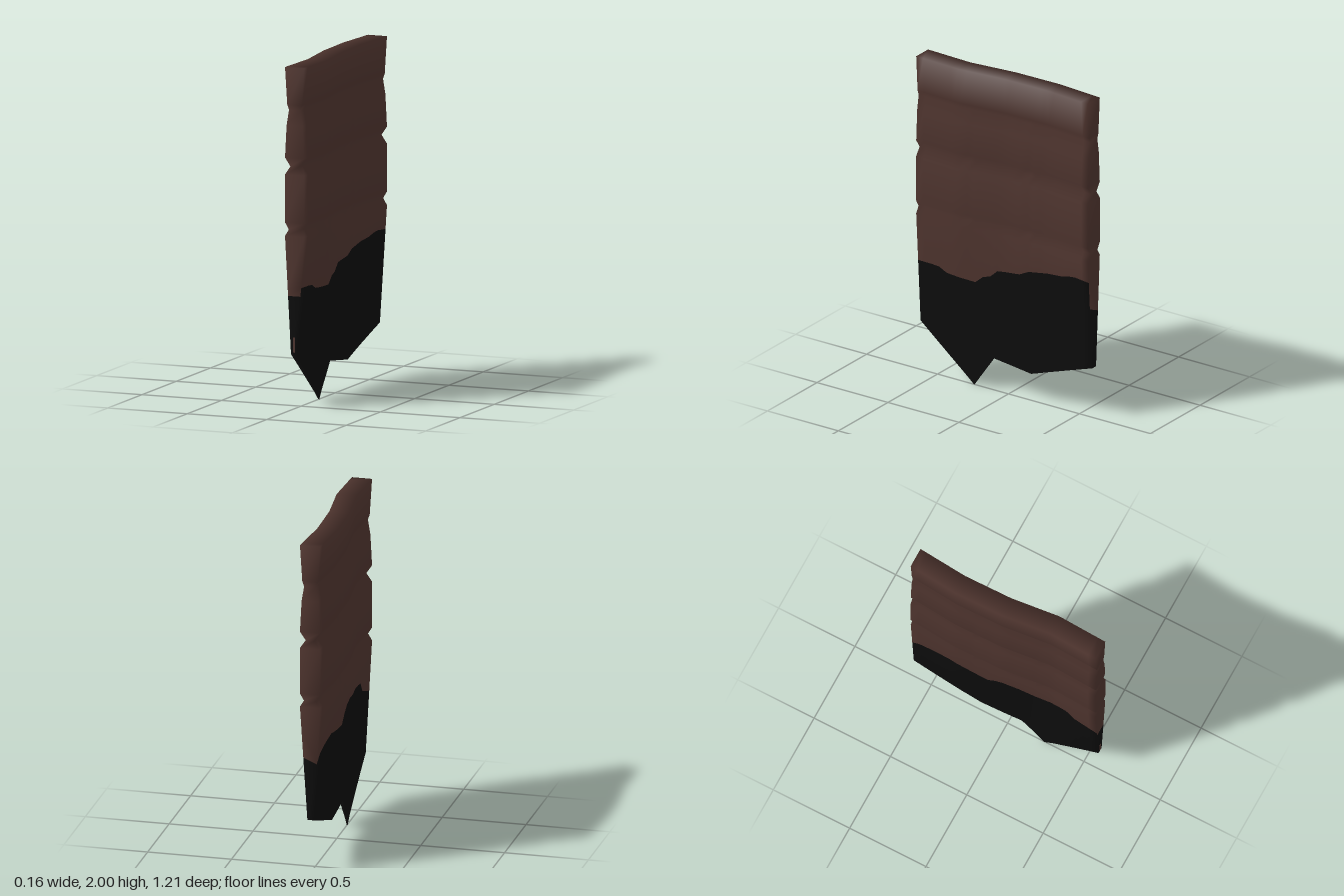
import * as THREE from 'three';

// Piecewise-linear lookup in a list of [key, value] pairs with falling keys
function lookup(points, key) {
  for (let i = 0; i < points.length - 1; i++) {
    const [k0, v0] = points[i], [k1, v1] = points[i + 1];
    if (key >= k1) return v0 + (v1 - v0) * (k0 - key) / (k0 - k1);
  }
  return points[points.length - 1][1];
}

// Sideways warp of the board along z
const WARP = [[0.605, 0.005], [0.3, 0.018], [0, -0.015], [-0.3, -0.02], [-0.605, 0.005]];
// Broken lower edge: z, y
const BOTTOM = [[0.605, 0.32], [0.24, 0], [0.1, 0.205], [-0.165, 0.17], [-0.605, 0.32]];
// Upper limit of the charring on the +x and -x faces: z, y
const CHAR_LEFT = [[0.605, 0.71], [0.46, 0.71], [0.4, 0.68], [0.3, 0.675], [0.2, 0.67], [0.15, 0.715],
  [0.1, 0.73], [0.05, 0.775], [-0.1, 0.79], [-0.15, 0.82], [-0.3, 0.845], [-0.4, 0.855], [-0.48, 0.878], [-0.605, 0.87]];
const CHAR_RIGHT = [[0.605, 0.7], [0.45, 0.75], [0.4, 0.82], [0.2, 0.815], [0.1, 0.83], [-0.04, 0.825],
  [-0.07, 0.73], [-0.2, 0.745], [-0.35, 0.77], [-0.45, 0.75], [-0.55, 0.72], [-0.605, 0.67]];
// Grooved profile above the taper: y, half thickness
const PROFILE = [[1.01, 0.06], [1.05, 0.036], [1.09, 0.06], [1.37, 0.06], [1.42, 0.026], [1.47, 0.06],
  [1.66, 0.05], [1.75, 0.035], [1.78, 0.046], [2, 0.06]];
const TAPER_TOP = 1.01;
const END_CHAR = { front: 0.66, back: 0.7 };

function boardGeometry() {
  const zs = [];
  for (let i = 0; i <= 24; i++) zs.push(0.605 - i * 1.21 / 24);
  // Snap columns to the corners of the broken edge and the warp
  for (const corner of [0.3, 0.24, 0.1, 0, -0.165, -0.3]) {
    let best = 0;
    zs.forEach((z, i) => { if (Math.abs(z - corner) < Math.abs(zs[best] - corner)) best = i; });
    zs[best] = corner;
  }
  const last = zs.length - 1;
  const rows = PROFILE.length + 3;
  const positions = [];

  zs.forEach((z, i) => {
    for (const side of [1, -1]) {
      const high = lookup(side > 0 ? CHAR_LEFT : CHAR_RIGHT, z);
      let low = high - 0.02;
      if (i === 0) low = END_CHAR.front;
      if (i === last) low = Math.min(END_CHAR.back, high - 0.005);
      for (const y of [lookup(BOTTOM, z), low, high]) {
        const taper = y / TAPER_TOP;
        const half = Math.max(0.06 * taper, 0.003);
        positions.push(lookup(WARP, z) * taper + side * half, y, z);
      }
      for (const [y, half] of PROFILE) positions.push(lookup(WARP, z) + side * half, y, z);
    }
  });

  const at = (i, side, r) => (i * 2 + (side > 0 ? 0 : 1)) * rows + r;
  const wood = [], char = [];
  const quad = (list, a, b, c, d) => list.push(a, b, c, a, c, d);

  for (let i = 0; i < last; i++) {
    // Broad faces
    for (let r = 0; r < rows - 1; r++) {
      const list = r < 2 ? char : wood;
      quad(list, at(i, 1, r), at(i + 1, 1, r), at(i + 1, 1, r + 1), at(i, 1, r + 1));
      quad(list, at(i + 1, -1, r), at(i, -1, r), at(i, -1, r + 1), at(i + 1, -1, r + 1));
    }
    // Top and broken lower edge
    const t = rows - 1;
    quad(wood, at(i, -1, t), at(i, 1, t), at(i + 1, 1, t), at(i + 1, -1, t));
    quad(char, at(i + 1, -1, 0), at(i + 1, 1, 0), at(i, 1, 0), at(i, -1, 0));
  }
  // Front and back ends
  for (let r = 0; r < rows - 1; r++) {
    const list = r < 1 ? char : wood;
    quad(list, at(0, -1, r), at(0, 1, r), at(0, 1, r + 1), at(0, -1, r + 1));
    quad(list, at(last, 1, r), at(last, -1, r), at(last, -1, r + 1), at(last, 1, r + 1));
  }

  const geometry = new THREE.BufferGeometry();
  geometry.setAttribute('position', new THREE.Float32BufferAttribute(positions, 3));
  geometry.setIndex([...wood, ...char]);
  geometry.addGroup(0, wood.length, 0);
  geometry.addGroup(wood.length, char.length, 1);
  geometry.computeVertexNormals();
  return geometry;
}

export function createModel() {
  const woodMaterial = new THREE.MeshStandardMaterial({ color: 0x4e342e });
  woodMaterial.name = 'darkWood';
  const charMaterial = new THREE.MeshStandardMaterial({ color: 0x0d0d0d });
  charMaterial.name = 'charredBlack';

  const group = new THREE.Group();
  group.name = 'brokenBoard';

  const board = new THREE.Mesh(boardGeometry(), [woodMaterial, charMaterial]);
  board.name = 'board';
  group.add(board);

  // Bare sliver of wood low on the front end
  const sliver = new THREE.Mesh(new THREE.BoxGeometry(0.014, 0.09, 0.004), woodMaterial);
  sliver.name = 'bareSliver';
  sliver.position.set(0.002, 0.375, 0.604);
  group.add(sliver);

  return group;
}
